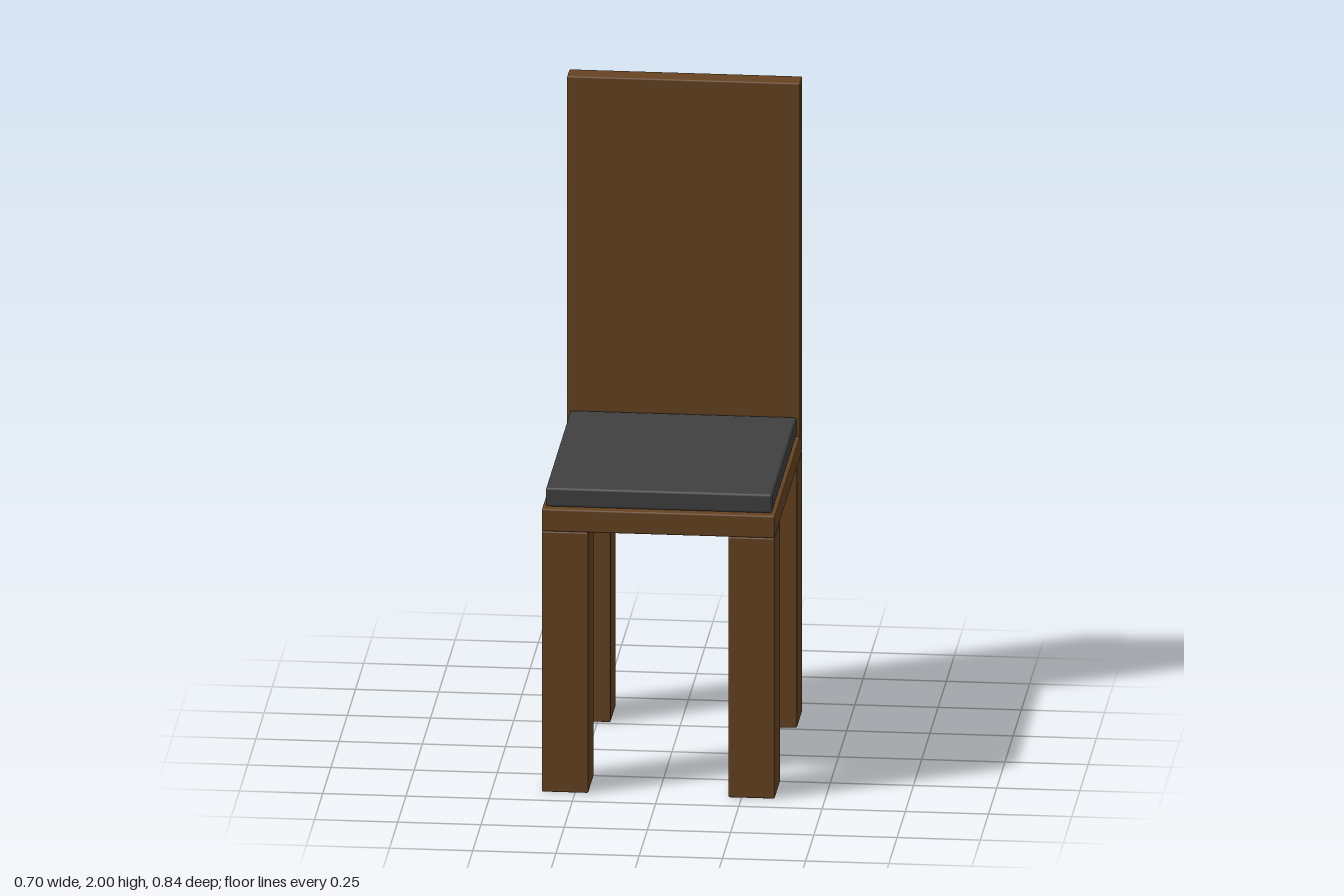
import * as THREE from 'three';
import { RoundedBoxGeometry } from 'three/addons/geometries/RoundedBoxGeometry.js';

const wood = new THREE.MeshStandardMaterial({ color: 0x654321 });
const fabric = new THREE.MeshStandardMaterial({ color: 0x404040 });

// Softly edged block given by its minimum and maximum corners
function block(name, material, [x0, y0, z0], [x1, y1, z1], radius = 0.005) {
  const geometry = new RoundedBoxGeometry(x1 - x0, y1 - y0, z1 - z0, 2, radius);
  const mesh = new THREE.Mesh(geometry, material);
  mesh.name = name;
  mesh.position.set((x0 + x1) / 2, (y0 + y1) / 2, (z0 + z1) / 2);
  return mesh;
}

export function createModel() {
  const chair = new THREE.Group();
  chair.name = 'chair';

  const halfW = 0.35, halfD = 0.42, seatBottom = 0.82, seatTop = 0.89;
  const backFront = -0.35, legW = 0.14, legD = 0.16;

  // Four legs, flush with the outer corners
  for (const [side, sx] of [['Left', 1], ['Right', -1]]) {
    for (const [end, sz] of [['front', 1], ['back', -1]]) {
      const leg = block(`${end}${side}Leg`, wood,
        [-legW / 2, 0, -legD / 2], [legW / 2, seatBottom, legD / 2]);
      leg.position.x = sx * (halfW - legW / 2);
      leg.position.z = sz * (halfD - legD / 2);
      chair.add(leg);
    }
  }

  // Seat board, cushion and tall back panel
  chair.add(
    block('seat', wood, [-halfW, seatBottom, backFront], [halfW, seatTop, halfD]),
    block('cushion', fabric, [-0.34, seatTop, backFront], [0.34, 0.95, 0.397], 0.008),
    block('backrest', wood, [-halfW, seatBottom, -halfD], [halfW, 2, backFront]),
  );
  return chair;
}
